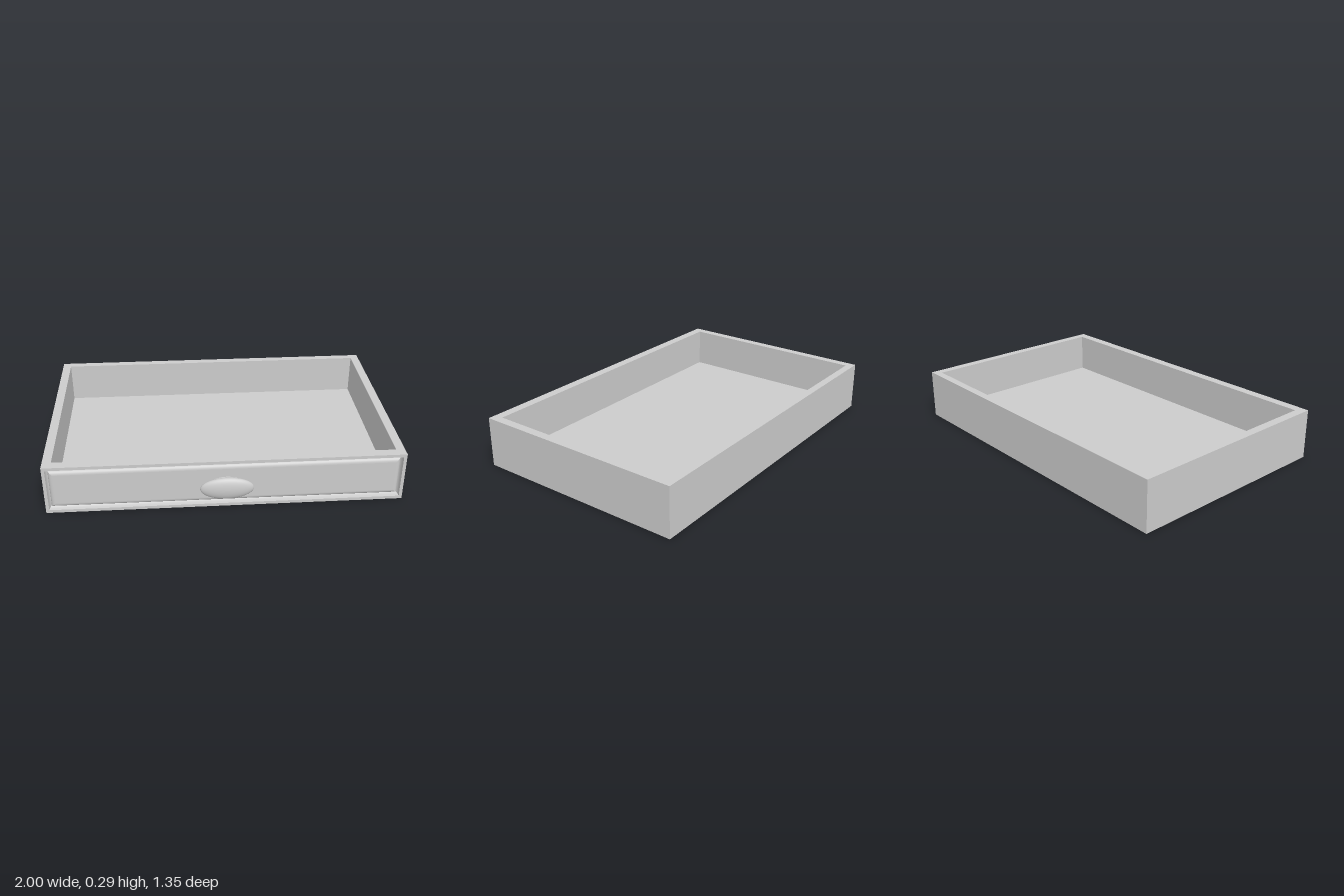
import * as THREE from 'three';

const W = 1, H = 0.295, BACK = -0.675, FRONT = 0.6, CORE = 0.56, FLOOR = 0.055;
const material = new THREE.MeshStandardMaterial({ color: 0xcccccc });

function part(name, geometry, parent) {
  const mesh = new THREE.Mesh(geometry, material);
  mesh.name = name;
  parent.add(mesh);
  return mesh;
}

// Rectangle in plan: x against -z, ready to be extruded upward
function planRect(path, x, zBack, zFront) {
  path.moveTo(-x, -zFront);
  path.lineTo(x, -zFront);
  path.lineTo(x, -zBack);
  path.lineTo(-x, -zBack);
  path.closePath();
  return path;
}

// Mitred rectangular moulding: each run is a smooth list of [inset, z] points
function mouldingGeometry(runs) {
  const positions = [], indices = [];
  const corners = [[-1, 0], [1, 0], [1, 1], [-1, 1]];
  const point = (c, [d, z]) => [corners[c][0] * (W - d), corners[c][1] ? H - d : d, z];
  for (const run of runs) {
    for (let side = 0; side < 4; side++) {
      run.forEach((p, i) => {
        const n = positions.length / 3;
        positions.push(...point(side, p), ...point((side + 1) % 4, p));
        if (i > 0) indices.push(n - 2, n - 1, n + 1, n - 2, n + 1, n);
      });
    }
  }
  const geometry = new THREE.BufferGeometry();
  geometry.setAttribute('position', new THREE.Float32BufferAttribute(positions, 3));
  geometry.setIndex(indices);
  geometry.computeVertexNormals();
  return geometry;
}

export function createModel() {
  const group = new THREE.Group();
  group.name = 'drawer';

  // Four walls around the open tray
  const plan = planRect(new THREE.Shape(), W, BACK, CORE);
  plan.holes.push(planRect(new THREE.Path(), 0.95, -0.63, 0.545));
  const walls = new THREE.ExtrudeGeometry(plan, { depth: H, bevelEnabled: false });
  walls.rotateX(-Math.PI / 2);
  part('walls', walls, group);

  // Bottom board between the walls
  const floor = part('floor', new THREE.BoxGeometry(1.9, FLOOR, 1.175), group);
  floor.position.set(0, FLOOR / 2, -0.0425);

  // Front frame, recessed groove and curved bevel rising to the panel
  const bevel = [];
  for (let i = 0; i <= 8; i++) {
    const a = (i / 8) * Math.PI / 2;
    bevel.push([0.03 + 0.025 * (1 - Math.cos(a)), 0.57 + 0.022 * Math.sin(a)]);
  }
  part('frontMoulding', mouldingGeometry([
    [[0, CORE], [0, FRONT]],
    [[0, FRONT], [0.018, FRONT]],
    [[0.018, FRONT], [0.02, 0.586], [0.024, 0.575], [0.03, 0.57]],
    bevel,
  ]), group);

  // Flat centre of the front
  const panel = part('frontPanel', new THREE.PlaneGeometry(2 * (W - 0.055), H - 0.11), group);
  panel.position.set(0, H / 2, 0.592);

  // Oval knob on a short stem, turned and then squashed in height
  const knob = new THREE.Group();
  knob.name = 'knob';
  knob.position.set(0, 0.15, 0.59);
  knob.scale.y = 0.45;
  group.add(knob);

  const stem = new THREE.CylinderGeometry(0.088, 0.088, 0.035, 48, 1, true);
  stem.rotateX(Math.PI / 2);
  part('knobStem', stem, knob).position.z = 0.0175;

  const profile = [];
  for (let i = 0; i <= 20; i++) {
    const a = -Math.PI / 2 + (i / 20) * Math.PI;
    profile.push(new THREE.Vector2(Math.max(0, 0.148 * Math.cos(a)), 0.055 + 0.03 * Math.sin(a)));
  }
  const cap = new THREE.LatheGeometry(profile, 48);
  cap.rotateX(Math.PI / 2);
  part('knobCap', cap, knob);

  return group;
}
